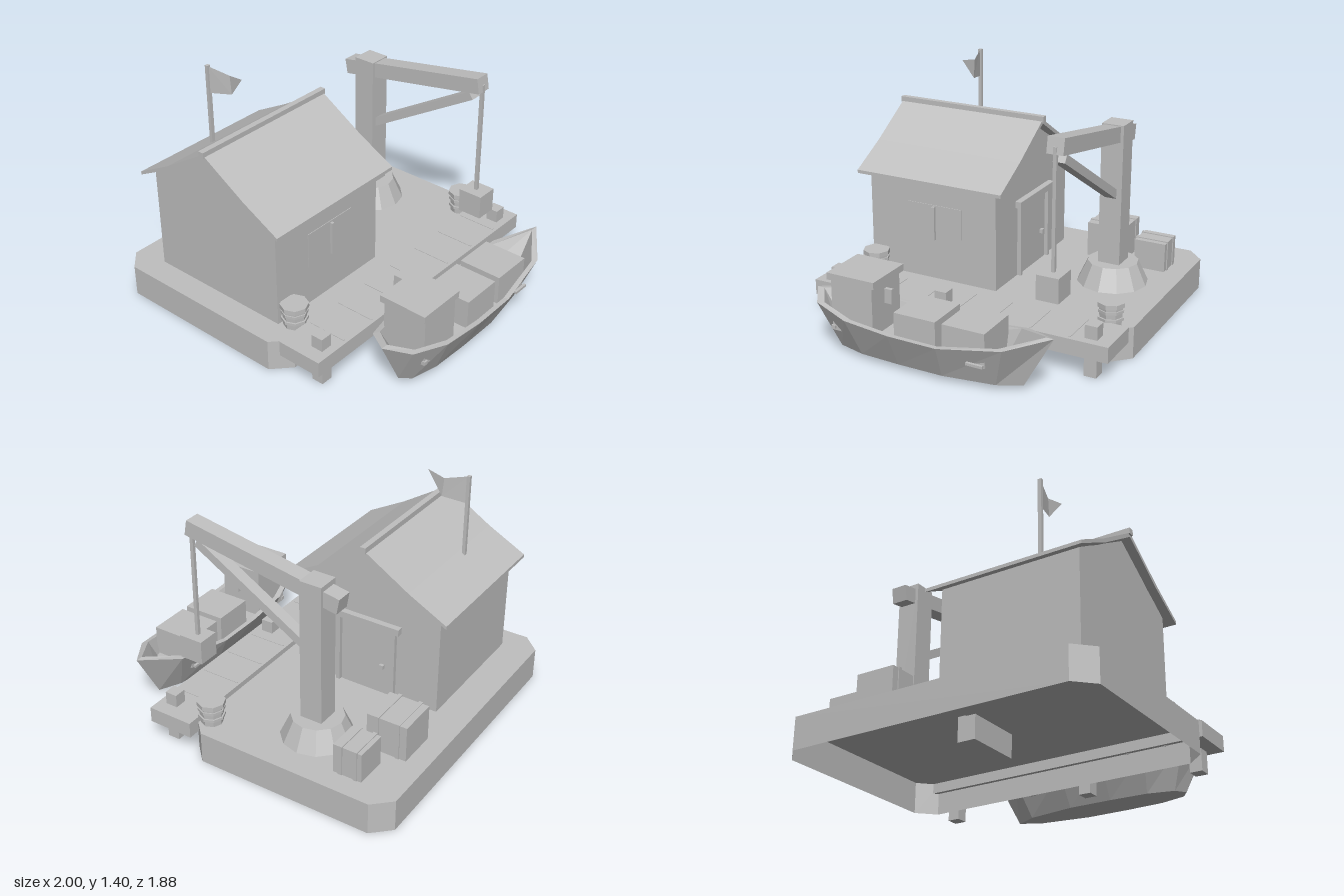
import * as THREE from 'three';

export function createModel() {
  const model = new THREE.Group();
  const grey = new THREE.MeshStandardMaterial({ color: 0xbfbfbf, flatShading: true, side: THREE.DoubleSide });
  grey.name = 'plain grey';

  const add = (name, geo, x = 0, y = 0, z = 0, parent = model) => {
    const m = new THREE.Mesh(geo, grey);
    m.name = name;
    m.position.set(x, y, z);
    parent.add(m);
    return m;
  };
  // box given by its limits on each axis
  const box = (name, x0, x1, y0, y1, z0, z1, parent) =>
    add(name, new THREE.BoxGeometry(x1 - x0, y1 - y0, z1 - z0), (x0 + x1) / 2, (y0 + y1) / 2, (z0 + z1) / 2, parent);
  // square beam between two points in the xy plane
  const beam = (name, x0, y0, x1, y1, z, thick, depth) => {
    const m = add(name, new THREE.BoxGeometry(Math.hypot(x1 - x0, y1 - y0), thick, depth), (x0 + x1) / 2, (y0 + y1) / 2, z);
    m.rotation.z = Math.atan2(y1 - y0, x1 - x0);
    return m;
  };
  // skin through closed rings with equal point counts
  const loft = (rings) => {
    const n = rings[0].length, pos = rings.flat(2), index = [];
    for (let r = 0; r < rings.length - 1; r++)
      for (let i = 0; i < n; i++) {
        const j = (i + 1) % n, a = r * n + i, b = r * n + j;
        index.push(a, a + n, b, b, a + n, b + n);
      }
    const g = new THREE.BufferGeometry();
    g.setAttribute('position', new THREE.Float32BufferAttribute(pos, 3));
    g.setIndex(index);
    g.computeVertexNormals();
    return g;
  };
  const shapeOf = (pts) => new THREE.Shape(pts.map((p) => new THREE.Vector2(...p)));
  const prism = (name, pts, z0, z1) =>
    add(name, new THREE.ExtrudeGeometry(shapeOf(pts), { depth: z1 - z0, bevelEnabled: false }), 0, 0, z0);

  // quay: hollow slab with cut corners, open below
  const quay = [[-1, -0.84], [-0.895, -0.94], [0.18, -0.94], [0.28, -0.84],
    [0.28, 0.83], [0.18, 0.935], [-0.895, 0.935], [-1, 0.83]];
  add('quayWall', loft([0.19, 0].map((y) => quay.map(([x, z]) => [x, y, z]))));
  const top = new THREE.ShapeGeometry(shapeOf(quay.map(([x, z]) => [x, -z])));
  add('quayTop', top.rotateX(-Math.PI / 2), 0, 0.19, 0);

  // house walls with gable
  const ridgeX = -0.34;
  prism('houseWalls', [[-0.8, 0.18], [0.12, 0.18], [0.12, 0.815], [ridgeX, 1.08], [-0.8, 0.815]], -0.055, 0.784);
  // two bent roof slopes and ridge cap
  for (const s of [-1, 1])
    prism('roofSlope', [[0, 1.115], [0.29, 0.935], [0.525, 0.81], [0.525, 0.79], [0.28, 0.915], [0, 1.09]]
      .map(([x, y]) => [ridgeX + s * x, y]), -0.12, 0.835);
  box('ridgeCap', -0.36, -0.325, 1.1, 1.135, -0.13, 0.845);
  // side window
  box('windowPane', 0.12, 0.124, 0.435, 0.65, 0.17, 0.53);
  box('windowBar', 0.13, 0.147, 0.44, 0.645, 0.338, 0.357);
  // back door
  box('door', -0.5, -0.18, 0.19, 0.62, -0.061, -0.055);
  for (const x of [-0.52, -0.16]) box('doorPost', x - 0.012, x + 0.012, 0.19, 0.63, -0.08, -0.055);
  box('doorLintel', -0.56, -0.12, 0.625, 0.665, -0.093, -0.05);
  box('doorKnob', -0.46, -0.435, 0.36, 0.385, -0.08, -0.06);
  box('doorFooting', -0.55, -0.2, 0.04, 0.185, -0.11, 0);

  // flag
  box('flagPole', -0.665, -0.645, 0.88, 1.405, 0.458, 0.48);
  const flag = new THREE.BufferGeometry();
  flag.setAttribute('position', new THREE.Float32BufferAttribute([
    -0.65, 1.235, 0.47, -0.65, 1.4, 0.47, -0.51, 1.257, 0.435, -0.52, 1.37, 0.435, -0.405, 1.39, 0.455], 3));
  flag.setIndex([0, 2, 1, 1, 2, 3, 2, 4, 3]);
  flag.computeVertexNormals();
  add('flag', flag);

  // crane
  const cz = -0.583;
  add('craneFoot', new THREE.CylinderGeometry(0.15, 0.21, 0.13, 12), -0.355, 0.255, cz);
  box('craneMast', -0.42, -0.285, 0.19, 1.163, cz - 0.067, cz + 0.067);
  beam('craneBoom', -0.508, 1.07, 0.46, 1.245, cz, 0.092, 0.097);
  beam('craneBrace', -0.34, 0.722, 0.405, 1.165, cz, 0.05, 0.07);
  box('craneRope', 0.447, 0.468, 0.55, 1.24, cz - 0.01, cz + 0.01);
  box('hangingCrate', 0.385, 0.535, 0.406, 0.55, -0.65, -0.517);

  // strapped crates on the quay
  const crate = (x0, x1, y1, z0, z1) => {
    box('crate', x0, x1, 0.19, y1, z0, z1);
    const e = 0.006, w = x1 - x0;
    for (const t of [0.22, 0.74])
      box('crateStrap', x0 + t * w - 0.012, x0 + t * w + 0.012, 0.185, y1 + e, z0 - e, z1 + e);
  };
  crate(-0.88, -0.635, 0.405, -0.535, -0.295);
  crate(-0.775, -0.6, 0.367, -0.813, -0.62);

  // barrels with hoops
  for (const [x, z] of [[0.2, -0.81], [0.185, 0.72]]) {
    add('barrel', new THREE.CylinderGeometry(0.072, 0.064, 0.13, 8), x, 0.255, z);
    for (const y of [0.235, 0.28]) add('barrelHoop', new THREE.CylinderGeometry(0.077, 0.077, 0.016, 8), x, y, z);
    add('barrelLid', new THREE.CylinderGeometry(0.081, 0.081, 0.026, 8), x, 0.317, z);
  }

  // dock with plank seams and posts
  box('dock', 0.256, 0.535, 0.13, 0.223, -0.94, 0.92);
  for (let i = 1; i < 8; i++) {
    const z = -0.94 + i * 0.2325;
    box('plankSeam', 0.275, 0.515, 0.127, 0.226, z - 0.006, z + 0.006);
  }
  for (const z of [-0.82, 0.1, 0.8]) box('dockPost', 0.413, 0.487, 0, 0.3, z - 0.037, z + 0.037);

  // boat hull: stations as rim z, rim y, rim half width, keel z, keel half width
  const boat = new THREE.Group();
  boat.name = 'boat';
  boat.position.x = 0.789;
  model.add(boat);
  const stations = [[-0.75, 0.34, 0, -0.58, 0], [-0.53, 0.285, 0.155, -0.45, 0.065], [-0.17, 0.237, 0.203, -0.15, 0.11],
    [0.12, 0.245, 0.211, 0.12, 0.11], [0.4, 0.265, 0.2, 0.36, 0.1], [0.62, 0.3, 0.135, 0.52, 0.06], [0.71, 0.325, 0, 0.565, 0]];
  const ring = (f) => {
    const half = stations.map((s) => f(...s));
    return [...half, ...half.slice(1, -1).reverse().map(([x, y, z]) => [-x, y, z])];
  };
  const deckY = 0.17;
  add('hull', loft([
    ring((z, y, w, kz) => [0, 0.033, kz]),
    ring((z, y, w, kz, kw) => [kw, 0.033, kz]),
    ring((z, y, w) => [w, y, z]),
    ring((z, y, w) => [w * 0.86, y, z * 0.94]),
    ring((z, y, w, kz) => [w * 0.72, deckY, kz]),
    ring((z, y, w, kz) => [0, deckY, kz]),
  ]), 0, 0, 0, boat);
  // small hull fittings
  for (const s of [-1, 1]) {
    box('hullPort', s * 0.132 - 0.012, s * 0.132 + 0.012, 0.168, 0.19, 0.5, 0.525, boat);
    box('hullRail', s * 0.15 - 0.008, s * 0.15 + 0.008, 0.16, 0.175, -0.42, -0.32, boat);
  }
  // cabin and cargo
  box('cabin', -0.138, 0.134, 0.16, 0.46, 0.26, 0.52, boat);
  box('cabinRoof', -0.152, 0.144, 0.457, 0.497, 0.24, 0.54, boat);
  box('cabinHandle', -0.01, 0.012, 0.325, 0.41, 0.215, 0.262, boat);
  box('cargoBox', -0.132, 0.132, 0.15, 0.347, -0.42, -0.167, boat);
  box('cargoBox', -0.132, 0.132, 0.15, 0.347, -0.127, 0.127, boat);

  return model;
}
